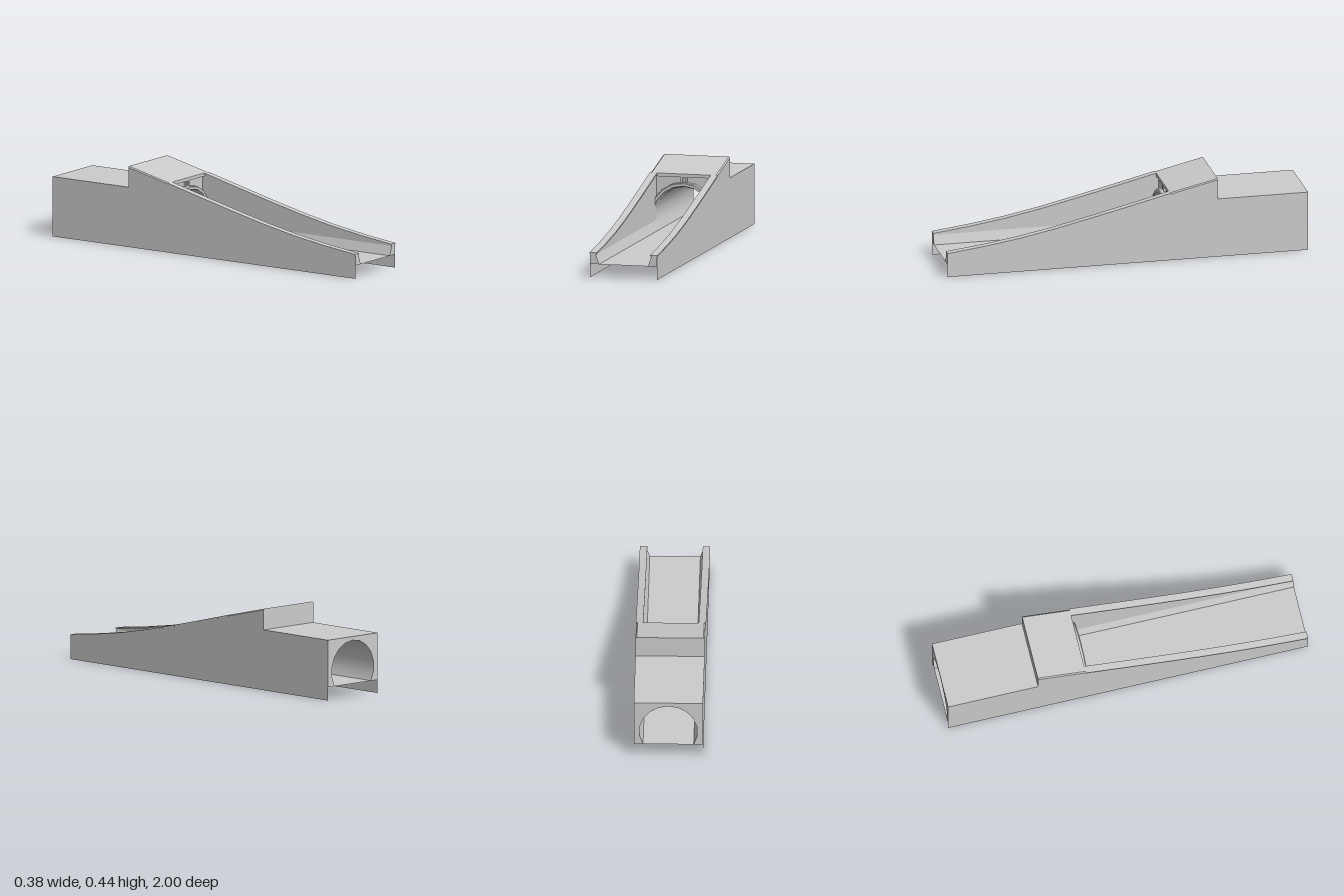
import * as THREE from 'three';
import { toCreasedNormals } from 'three/addons/utils/BufferGeometryUtils.js';

const FLOOR = 0.073, WALL = 0.187, INNER = 0.1556, ROOF = 0.33;
const PORTAL = -0.25, HOOD = -0.235, MID = -0.5;
const BORE = 0.158, BORE_Y = 0.152;

const material = new THREE.MeshStandardMaterial({ color: 0xcccccc, side: THREE.DoubleSide });

// Height of the ramp's top edge along z
const rampCurve = [[1, 0.135], [0.8, 0.16], [0.6, 0.191], [0.4, 0.231], [0.2, 0.277], [0, 0.325], [HOOD, 0.383], [MID, 0.445]];
const along = (zEnd) => rampCurve.filter(([z]) => z >= zEnd);

// Point on the 18-sided bore; angle in degrees from the crown
const borePoint = (deg, r = BORE) => {
  const a = THREE.MathUtils.degToRad(deg);
  return [r * Math.sin(a), BORE_Y + r * Math.cos(a)];
};
const arc = (from, to, r) => {
  const pts = [];
  for (let d = from; d <= to; d += 20) pts.push(borePoint(d, r));
  return pts;
};

// Surface joining a list of equal-length cross-sections of [x, y, z]
function loft(sections) {
  const n = sections[0].length, index = [];
  for (let i = 0; i < sections.length - 1; i++) {
    for (let j = 0; j < n - 1; j++) {
      const a = i * n + j, b = a + n;
      index.push(a, b, a + 1, a + 1, b, b + 1);
    }
  }
  const g = new THREE.BufferGeometry();
  g.setAttribute('position', new THREE.Float32BufferAttribute(sections.flat(2), 3));
  g.setIndex(index);
  return toCreasedNormals(g, 0.5);
}

const polygon = (pts) => new THREE.ShapeGeometry(new THREE.Shape(pts.map(([x, y]) => new THREE.Vector2(x, y))));

export function createModel() {
  const model = new THREE.Group();
  const add = (name, geometry, x = 0, y = 0, z = 0) => {
    const mesh = new THREE.Mesh(geometry, material);
    mesh.name = name;
    mesh.position.set(x, y, z);
    model.add(mesh);
    return mesh;
  };

  // Road floor running the full length
  const [floorX] = borePoint(120);
  add('floor', new THREE.PlaneGeometry(floorX * 2, 2).rotateX(-Math.PI / 2), 0, FLOOR, 0);

  // Ramp sides: outer wall, inner wall with sloping kerb, coping, front end
  for (const s of [1, -1]) {
    const side = s > 0 ? 'left' : 'right';
    const [kerbX, kerbY] = borePoint(100);

    add(side + 'OuterWall', loft(along(MID).map(([z, y]) => [[s * WALL, 0, z], [s * WALL, y - 0.006, z]])));
    add(side + 'TunnelWall', loft([MID, -1].map((z) => [[s * WALL, 0, z], [s * WALL, ROOF, z]])));
    add(side + 'InnerWall', loft([...along(HOOD), [PORTAL, 0.383]].map(([z, y]) =>
      [[s * INNER, kerbY, z], [s * INNER, y - 0.006, z]])));
    add(side + 'Kerb', loft([1, PORTAL].map((z) => [[s * floorX, FLOOR, z], [s * kerbX, kerbY, z]])));

    const coping = (y, z) => [[0.15, -0.008], [0.19, -0.008], [0.19, 0], [0.15, 0], [0.15, -0.008]]
      .map(([x, dy]) => [s * x, y + dy, z]);
    add(side + 'Coping', loft(along(HOOD).map(([z, y]) => coping(y, z))));
    add(side + 'CopingEnd', polygon([[s * 0.15, 0.127], [s * 0.19, 0.127], [s * 0.19, 0.135], [s * 0.15, 0.135]]), 0, 0, 1);
    add(side + 'WallEnd', polygon([[s * floorX, FLOOR], [s * WALL, FLOOR], [s * WALL, 0.128], [s * kerbX, 0.128], [s * kerbX, kerbY]]), 0, 0, 1);

    // Slim pilaster above the arch
    add(side + 'Pilaster', new THREE.BoxGeometry(0.01, 0.032, 0.012), s * 0.013, 0.35, PORTAL + 0.006);
  }

  // Sloping hood plate with chamfered edges
  const hood = [[-WALL, -0.015], [-WALL, -0.008], [-0.18, 0], [0.18, 0], [WALL, -0.008], [WALL, -0.015], [-WALL, -0.015]];
  add('hood', loft([[HOOD, 0.383], [MID, 0.445]].map(([z, y]) => hood.map(([x, dy]) => [x, y + dy, z]))));
  add('hoodFront', polygon(hood.slice(0, 6)), 0, 0.383, HOOD);
  add('hoodBack', polygon([[-WALL, ROOF], [WALL, ROOF], [WALL, 0.437], [0.18, 0.445], [-0.18, 0.445], [-WALL, 0.437]]), 0, 0, MID);
  add('hoodBeam', new THREE.BoxGeometry(INNER * 2, 0.015, 0.015), 0, 0.3725, PORTAL + 0.0075);

  // Portal wall with its raised arch ring
  add('portalWall', polygon([[-INNER, 0.38], ...arc(-80, 80), [INNER, 0.38]]), 0, 0, PORTAL);
  const ring = [[BORE, PORTAL], [0.168, -0.215], [0.182, -0.215], [0.186, -0.22], [0.186, PORTAL]];
  const ringSections = [];
  for (let d = -80; d <= 80; d += 20) {
    ringSections.push(ring.map(([r, z]) => [...borePoint(d, r), z]));
  }
  add('archRing', loft(ringSections));

  // Tunnel: bore, roof and back end
  add('tunnelBore', loft([PORTAL, -1].map((z) => arc(-120, 120).map(([x, y]) => [x, y, z]))));
  add('tunnelRoof', new THREE.PlaneGeometry(WALL * 2, 0.5).rotateX(-Math.PI / 2), 0, ROOF, -0.75);
  add('tunnelEnd', polygon([[-WALL, ROOF], [-WALL, FLOOR], ...arc(-120, 120), [WALL, FLOOR], [WALL, ROOF]]), 0, 0, -1);

  return model;
}
